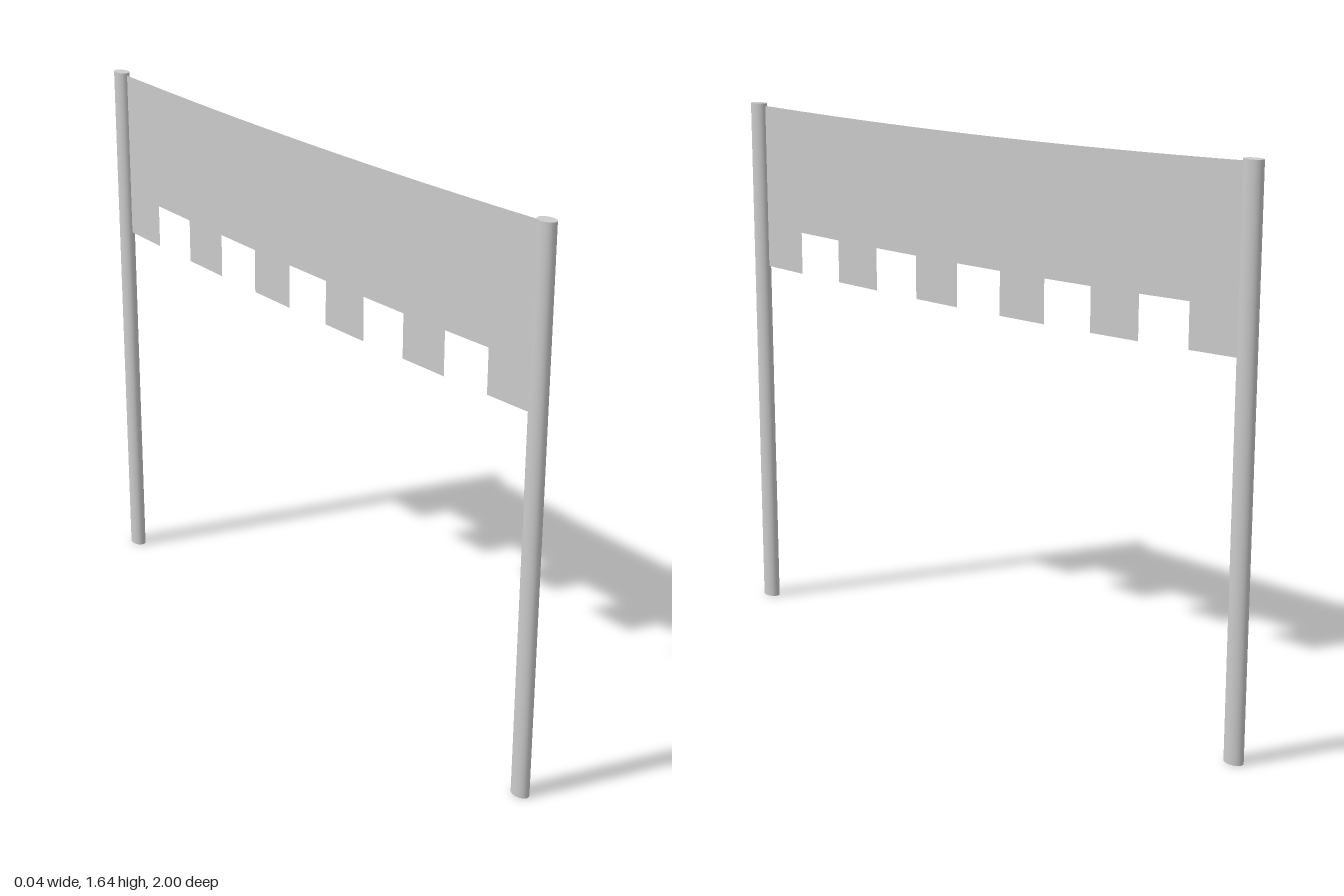
import * as THREE from 'three';

const HEIGHT = 1.64;
const HALF_SPAN = 0.949;
const COLUMNS = 11;

// Slight downward sag of the cloth towards the middle
const sag = (u) => 0.014 * (1 - (u / HALF_SPAN) ** 2);

// Oval upright standing on the ground
function makePost(name, z, material) {
  const geometry = new THREE.CylinderGeometry(1, 1, HEIGHT, 24);
  geometry.scale(0.021, 1, 0.0305);
  const post = new THREE.Mesh(geometry, material);
  post.name = name;
  post.position.set(0, HEIGHT / 2, z);
  return post;
}

// Flat sheet with a sagging top and square tabs along the lower edge
function makeBanner(material) {
  const edge = (i) => -HALF_SPAN + (2 * HALF_SPAN * i) / COLUMNS;
  const points = [];
  for (let i = 0; i < COLUMNS; i++) {
    const isTab = i % 2 === 0;
    for (const u of [edge(i), edge(i + 1)]) {
      points.push(new THREE.Vector2(u, (isTab ? 1.121 : 1.252) - sag(u)));
    }
  }
  const steps = 22;
  for (let i = steps; i >= 0; i--) {
    const u = -HALF_SPAN + (2 * HALF_SPAN * i) / steps;
    points.push(new THREE.Vector2(u, 1.633 - sag(u)));
  }
  const geometry = new THREE.ShapeGeometry(new THREE.Shape(points));
  geometry.rotateY(Math.PI / 2);
  const banner = new THREE.Mesh(geometry, material);
  banner.name = 'banner';
  return banner;
}

export function createModel() {
  const group = new THREE.Group();
  group.name = 'bannerOnPosts';
  const postMaterial = new THREE.MeshStandardMaterial({ color: 0xcccccc });
  const clothMaterial = new THREE.MeshStandardMaterial({ color: 0xcccccc, side: THREE.DoubleSide });

  group.add(makePost('frontPost', 0.9695, postMaterial));
  group.add(makePost('backPost', -0.9695, postMaterial));
  group.add(makeBanner(clothMaterial));
  return group;
}
